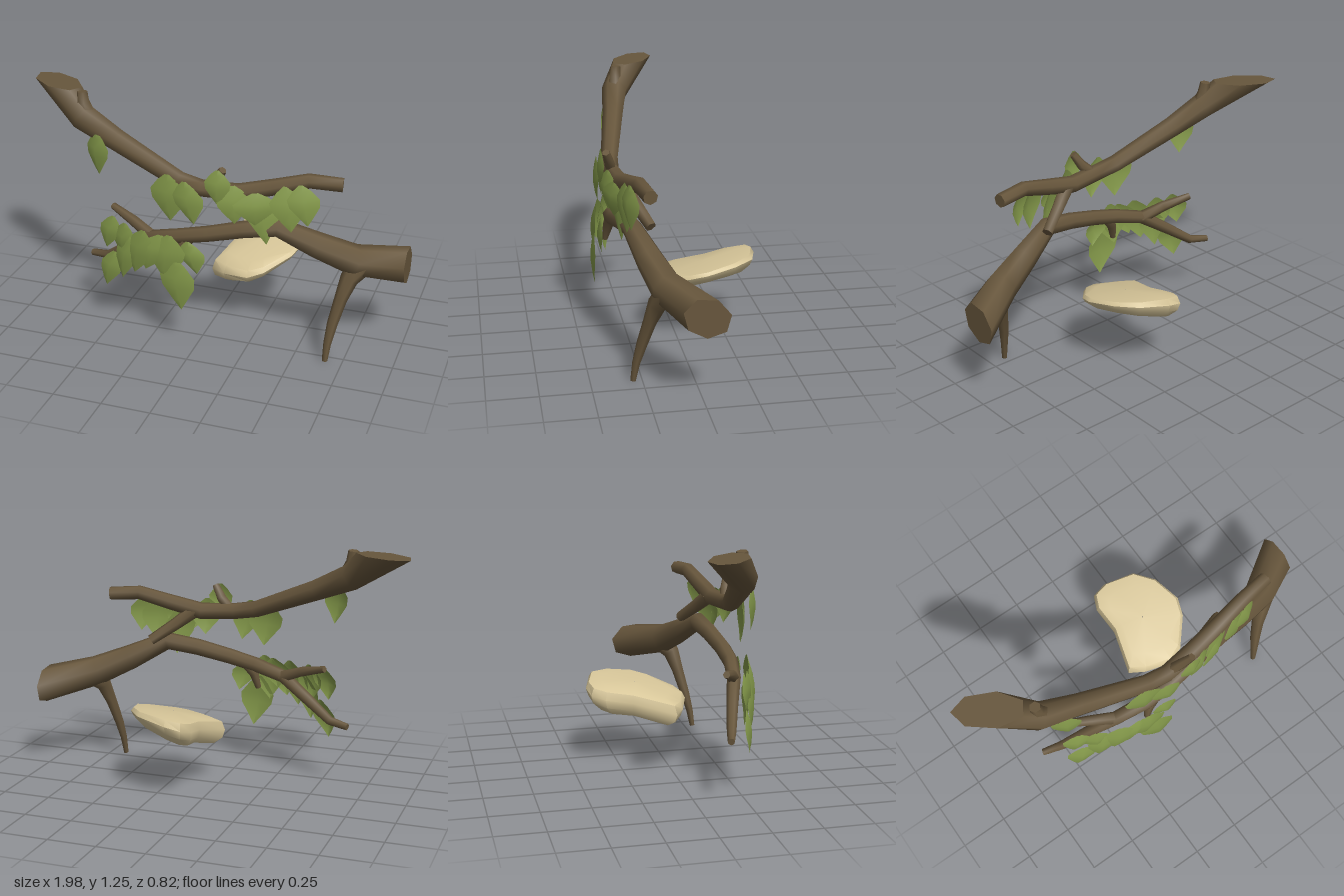
import * as THREE from 'three';
import { toCreasedNormals } from 'three/addons/utils/BufferGeometryUtils.js';

const bark = new THREE.MeshStandardMaterial({ color: 0x67563c });
bark.name = 'bark';
const leafGreen = new THREE.MeshStandardMaterial({ color: 0x84994a, side: THREE.DoubleSide });
leafGreen.name = 'leaf green';
const sandstone = new THREE.MeshStandardMaterial({ color: 0xd8c79a });
sandstone.name = 'sandstone';

function makeGeometry(positions, index) {
  const g = new THREE.BufferGeometry();
  g.setAttribute('position', new THREE.Float32BufferAttribute(positions, 3));
  g.setIndex(index);
  g.computeVertexNormals();
  return g;
}

function addMesh(group, name, geometry, material) {
  const mesh = new THREE.Mesh(geometry, material);
  mesh.name = name;
  group.add(mesh);
}

// Tapering limb through [x, y, z, radius] stations.
// cuts: { start / end: [axis, value] } slices that end along an axis plane.
function limb(stations, sides = 7, cuts = {}) {
  const pts = stations.map(s => new THREE.Vector3(s[0], s[1], s[2]));
  const last = pts.length - 1;
  const steep = Math.abs(pts[last].y - pts[0].y) > 0.7 * pts[last].distanceTo(pts[0]);
  const up = steep ? new THREE.Vector3(0, 0, 1) : new THREE.Vector3(0, 1, 0);
  const rings = pts.map((p, i) => {
    const t = pts[Math.min(i + 1, last)].clone().sub(pts[Math.max(i - 1, 0)]).normalize();
    const u = up.clone().addScaledVector(t, -up.dot(t)).normalize();
    const v = t.clone().cross(u);
    const cut = i === 0 ? cuts.start : i === last ? cuts.end : null;
    return Array.from({ length: sides }, (_, j) => {
      const a = (j + 0.5) / sides * Math.PI * 2;
      const q = p.clone()
        .addScaledVector(u, Math.cos(a) * stations[i][3])
        .addScaledVector(v, Math.sin(a) * stations[i][3]);
      if (cut) q.addScaledVector(t, (cut[1] - q[cut[0]]) / t[cut[0]]);
      return q;
    });
  });
  const pos = [], idx = [];
  rings.flat().forEach(q => pos.push(q.x, q.y, q.z));
  for (let i = 0; i < last; i++) {
    for (let j = 0; j < sides; j++) {
      const k = (j + 1) % sides;
      const a = i * sides + j, b = i * sides + k;
      idx.push(a, b, a + sides, b, b + sides, a + sides);
    }
  }
  // flat end caps on their own vertices
  for (const [ring, flip] of [[rings[0], true], [rings[last], false]]) {
    const base = pos.length / 3;
    ring.forEach(q => pos.push(q.x, q.y, q.z));
    for (let j = 1; j < sides - 1; j++) {
      if (flip) idx.push(base, base + j + 1, base + j);
      else idx.push(base, base + j, base + j + 1);
    }
  }
  return makeGeometry(pos, idx);
}

// Folded pointed leaf hanging from (x, y, z) to tip (tx, ty).
const LEAF_PROFILE = [[0, 0.12], [0.14, 0.55], [0.36, 1], [0.55, 0.92], [0.8, 0.42], [1, 0.01]];
function leaf([x, y, z, tx, ty, width]) {
  const yaw = x < -0.2 ? -0.4 : x > 0.15 ? 0.4 : x * 0.8;
  const pos = [], idx = [];
  LEAF_PROFILE.forEach(([v, w], i) => {
    for (const s of [-1, 0, 1]) {
      const side = s * w * width / 2;
      const depth = 0.02 * Math.sin(v * Math.PI) - 0.022 * Math.abs(s) * w;
      pos.push(
        x + (tx - x) * v + side * Math.cos(yaw) + depth * Math.sin(yaw),
        y + (ty - y) * v,
        z - side * Math.sin(yaw) + depth * Math.cos(yaw));
    }
    if (i) for (const c of [0, 1]) {
      const a = (i - 1) * 3 + c, b = a + 3;
      idx.push(a, b, a + 1, a + 1, b, b + 1);
    }
  });
  return makeGeometry(pos, idx);
}

// Tilted slab of rock: one outline, shrunk and lifted between two sloping planes.
function stone() {
  const outline = [
    [-0.02, 0.04], [0.06, 0.09], [0.2, 0.135], [0.28, 0.1], [0.39, -0.03], [0.42, -0.12],
    [0.38, -0.27], [0.3, -0.37], [0.14, -0.415], [0.06, -0.4], [0.03, -0.33], [0.04, -0.18]];
  const n = outline.length, cx = 0.2, cz = -0.14;
  const low = (x, z) => 0.21 + 0.35 * x - 0.2 * z;
  const high = (x, z) => 0.36 + 0.13 * x - 0.22 * z;
  const layers = [[0.01, 0], [0.78, 0], [0.95, 0.3], [1, 0.6], [0.94, 0.88], [0.7, 1], [0.01, 1.03]];
  const pos = [], idx = [];
  layers.forEach(([s, h], i) => {
    outline.forEach(([ox, oz], j) => {
      const x = cx + (ox - cx) * s, z = cz + (oz - cz) * s;
      pos.push(x, low(x, z) + (high(x, z) - low(x, z)) * h, z);
      if (i) {
        const k = (j + 1) % n, a = (i - 1) * n + j, b = (i - 1) * n + k;
        idx.push(a, b, a + n, b, b + n, a + n);
      }
    });
  });
  return toCreasedNormals(makeGeometry(pos, idx), 0.75);
}

export function createModel() {
  const model = new THREE.Group();
  model.name = 'branchesAndStone';

  // Upper branch, sliced level at its thick end
  const upper = new THREE.Group();
  upper.name = 'upperBranch';
  addMesh(upper, 'upperLimb', limb([
    [-0.83, 1.25, 0.08, 0.09], [-0.64, 1.115, 0.2, 0.07], [-0.45, 1.03, 0.235, 0.056],
    [-0.1, 0.89, 0.3, 0.045], [0.02, 0.868, 0.31, 0.044], [0.2, 0.86, 0.285, 0.046],
    [0.38, 0.905, 0.26, 0.042], [0.54, 0.948, 0.235, 0.038], [0.7, 0.938, 0.21, 0.036]],
  7, { start: ['y', 1.25] }), bark);
  addMesh(upper, 'cutKnob', limb([
    [-0.62, 1.12, 0.2, 0.045], [-0.645, 1.19, 0.195, 0.035], [-0.65, 1.25, 0.19, 0.028]], 6), bark);
  addMesh(upper, 'upperTwig', limb([
    [0.04, 0.87, 0.305, 0.03], [0.1, 0.93, 0.325, 0.027], [0.14, 0.995, 0.345, 0.02]], 6), bark);
  addMesh(upper, 'lowerTwig', limb([
    [0.24, 0.86, 0.275, 0.04], [0.33, 0.79, 0.23, 0.034], [0.45, 0.705, 0.17, 0.028]], 6), bark);
  model.add(upper);

  // Lower branch, sliced upright at its thick end
  const lower = new THREE.Group();
  lower.name = 'lowerBranch';
  addMesh(lower, 'lowerLimb', limb([
    [-0.65, 0.335, 0.15, 0.018], [-0.55, 0.35, 0.18, 0.024], [-0.42, 0.44, 0.22, 0.03],
    [-0.27, 0.54, 0.27, 0.036], [-0.1, 0.585, 0.3, 0.04], [0.05, 0.62, 0.3, 0.042],
    [0.22, 0.66, 0.28, 0.045], [0.39, 0.688, 0.255, 0.05], [0.58, 0.595, 0.2, 0.068],
    [0.76, 0.515, 0.145, 0.082], [1, 0.455, 0, 0.097]],
  7, { end: ['x', 1] }), bark);
  addMesh(lower, 'forkTwig', limb([
    [-0.26, 0.54, 0.27, 0.034], [-0.38, 0.59, 0.22, 0.028], [-0.52, 0.63, 0.16, 0.018]], 6), bark);
  addMesh(lower, 'hangingTwig', limb([
    [-0.04, 0.6, 0.3, 0.034], [-0.09, 0.53, 0.315, 0.027], [-0.11, 0.45, 0.33, 0.016]], 6), bark);
  addMesh(lower, 'longShoot', limb([
    [0.8, 0.51, 0.13, 0.07], [0.745, 0.43, 0.19, 0.046], [0.715, 0.33, 0.22, 0.033],
    [0.685, 0.2, 0.255, 0.027], [0.67, 0.1, 0.28, 0.02], [0.663, 0.005, 0.295, 0.014]], 6), bark);
  model.add(lower);

  // Leaves: top x, y, z, tip x, y, width
  const leaves = new THREE.Group();
  leaves.name = 'leaves';
  [
    [-0.55, 1.075, 0.27, -0.54, 0.85, 0.15], [-0.15, 0.93, 0.34, -0.135, 0.685, 0.2],
    [-0.05, 0.92, 0.375, 0, 0.7, 0.16], [0.12, 1.0, 0.37, 0.12, 0.82, 0.13],
    [0.19, 0.92, 0.345, 0.2, 0.72, 0.17], [0.31, 0.89, 0.3, 0.35, 0.61, 0.16],
    [0.3, 0.89, 0.33, 0.3, 0.72, 0.22], [0.44, 0.93, 0.29, 0.47, 0.69, 0.18],
    [0.51, 0.94, 0.28, 0.55, 0.73, 0.16],
    [-0.48, 0.62, 0.26, -0.52, 0.44, 0.15], [-0.47, 0.43, 0.28, -0.52, 0.23, 0.15],
    [-0.4, 0.61, 0.3, -0.41, 0.41, 0.16], [-0.37, 0.55, 0.32, -0.41, 0.31, 0.15],
    [-0.28, 0.61, 0.35, -0.33, 0.37, 0.2], [-0.18, 0.61, 0.37, -0.26, 0.41, 0.19],
    [-0.13, 0.62, 0.38, -0.16, 0.38, 0.2], [-0.04, 0.59, 0.36, 0.01, 0.42, 0.14],
    [-0.1, 0.5, 0.39, -0.065, 0.22, 0.19],
  ].forEach((spec, i) => addMesh(leaves, `leaf${i + 1}`, leaf(spec), leafGreen));
  model.add(leaves);

  addMesh(model, 'stone', stone(), sandstone);
  return model;
}
